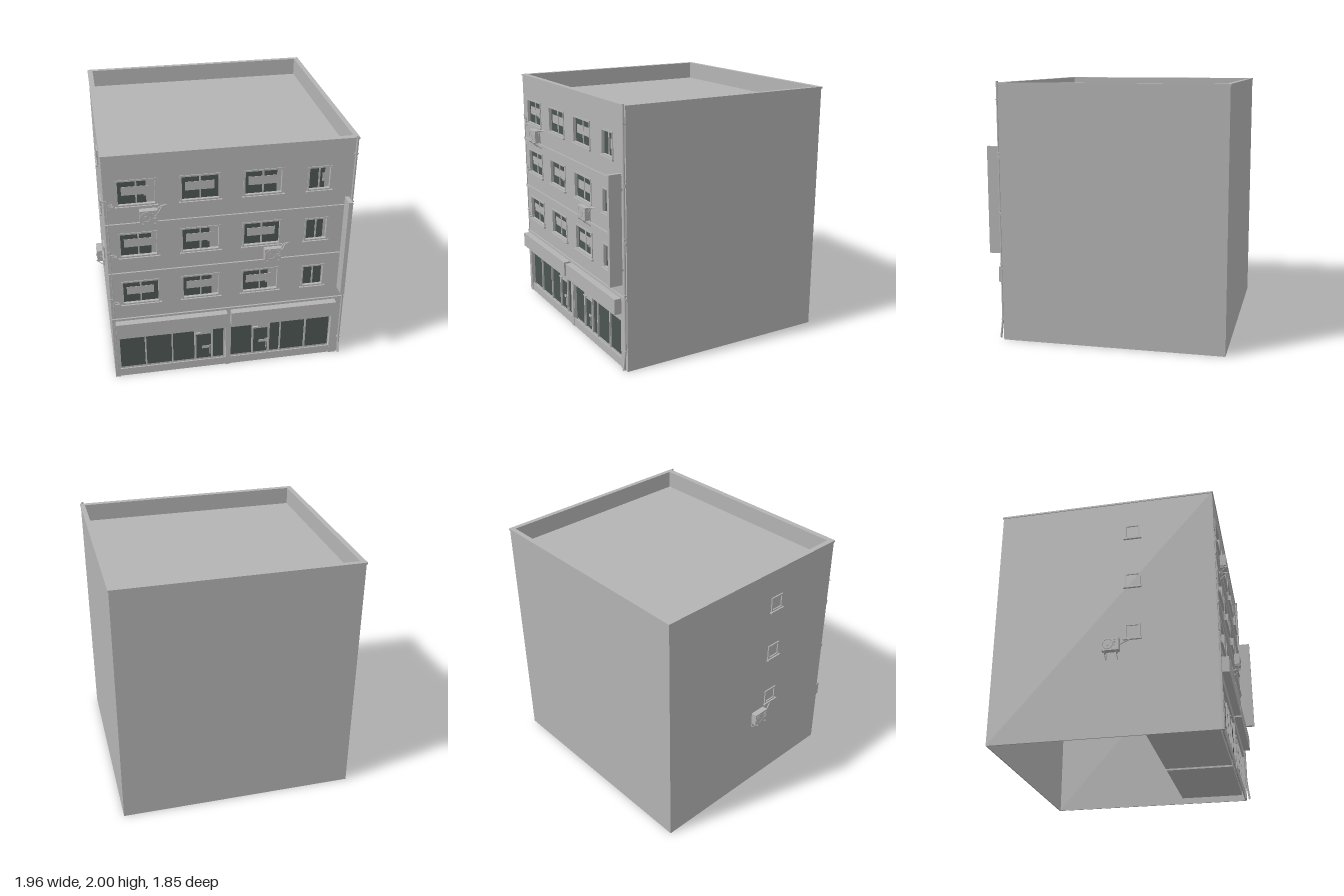
import * as THREE from 'three';

const mat = (name, color, side = THREE.FrontSide) => {
  const m = new THREE.MeshStandardMaterial({ color, side });
  m.name = name;
  return m;
};

export function createModel() {
  const model = new THREE.Group();
  const plaster = mat('plaster grey', 0xb4b4b4, THREE.DoubleSide);
  const glassMat = mat('dark glass', 0x4b5551);
  const L = -0.905, R = 0.975, B = -0.92, F = 0.81, TOP = 1.98;

  const add = (parent, name, geo, m = plaster) => {
    const mesh = new THREE.Mesh(geo, m);
    mesh.name = name;
    parent.add(mesh);
    return mesh;
  };
  // Box given by its two extremes on each axis
  const box = (parent, name, x0, x1, y0, y1, z0, z1, m) =>
    add(parent, name, new THREE.BoxGeometry(x1 - x0, y1 - y0, z1 - z0)
      .translate((x0 + x1) / 2, (y0 + y1) / 2, (z0 + z1) / 2), m);
  const tube = (parent, name, pts, r, sides = 8) =>
    add(parent, name, new THREE.TubeGeometry(
      new THREE.CatmullRomCurve3(pts.map(p => new THREE.Vector3(...p)), false, 'catmullrom', 0.1), 12, r, sides));
  const group = (name, parent = model) => {
    const g = new THREE.Group();
    g.name = name;
    parent.add(g);
    return g;
  };
  const rect = (P, x0, x1, y0, y1) => {
    const p = new P();
    p.moveTo(x0, y0).lineTo(x1, y0).lineTo(x1, y1).lineTo(x0, y1).closePath();
    return p;
  };

  // Window layout: wide columns (x0, x1), narrow column, and the three storeys
  const wide = [[-0.815, -0.52], [-0.35, -0.05], [0.12, 0.42]];
  const narrow = [0.605, 0.79];
  const storeys = [0.71, 1.14, 1.58];
  // Share of the opening left bright on the right, and whether the panel is stepped
  const blinds = [
    [[0, 0], [0.17, 0], [0.24, 1], [0.04, 0]],
    [[0.13, 0], [0.22, 1], [0, 0], [0.12, 0]],
    [[0.21, 1], [0, 0], [0.11, 0], [0.2, 1]],
  ];
  const windows = [];
  storeys.forEach((y, s) => [...wide, narrow].forEach(([x0, x1], c) =>
    windows.push({ x0, x1, y0: y, y1: y + (c < 3 ? 0.215 : 0.2), blind: blinds[s][c], notice: c < 3 })));

  // Outer walls, hollow and open below
  const shell = group('walls');
  const front = rect(THREE.Shape, L, R, 0, TOP);
  windows.forEach(w => front.holes.push(rect(THREE.Path, w.x0, w.x1, w.y0, w.y1)));
  const shops = [[-0.865, 0.0], [0.045, 0.885]];
  shops.forEach(([a, b]) => front.holes.push(rect(THREE.Path, a, b, 0.07, 0.38)));
  add(shell, 'frontWall', new THREE.ExtrudeGeometry(front, { depth: 0.01, bevelEnabled: false }).translate(0, 0, F - 0.01));
  box(shell, 'backWall', L, R, 0, TOP, B, B + 0.01);
  box(shell, 'rightWall', L, L + 0.01, 0, TOP, B, F - 0.01);
  box(shell, 'leftWall', R - 0.01, R, 0, TOP, B, F - 0.01);

  // Roof sunk behind a parapet with a slim coping
  box(shell, 'roof', L + 0.01, R - 0.01, 1.84, 1.85, B + 0.01, F - 0.01);
  const ring = (name, o, y0, y1) => {
    const s = rect(THREE.Shape, L - o, R + o, -F - o, -B + o);
    s.holes.push(rect(THREE.Path, -0.868, 0.942, -0.77, 0.888));
    add(shell, name, new THREE.ExtrudeGeometry(s, { depth: y1 - y0, bevelEnabled: false })
      .rotateX(-Math.PI / 2).translate(0, y0, 0));
  };
  ring('parapet', -0.003, 1.85, 1.98);
  ring('coping', 0.006, 1.978, 1.992);

  // Storey bands
  for (const y of [0.557, 0.985, 1.415]) {
    box(model, 'storeyBand', L, R, y, y + 0.025, F, F + 0.008);
    box(model, 'storeyBandLip', L, R, y + 0.017, y + 0.025, F, F + 0.013);
  }

  // One window facing +z, with its front wall surface at z
  const buildWindow = (parent, { x0, x1, y0, y1, blind, notice }, z, depth = 0.12) => {
    const g = group('window', parent), t = 0.013, w = x1 - x0;
    box(g, 'recess', x0, x1, y0, y1, z - depth, z - 0.022);
    for (const x of [x0, x1 - t]) box(g, 'frameSide', x, x + t, y0, y1, z - 0.025, z + 0.006);
    for (const y of [y0, y1 - t]) box(g, 'frameRail', x0 + t, x1 - t, y, y + t, z - 0.025, z + 0.006);
    box(g, 'sill', x0 - 0.01, x1 + 0.01, y0 - 0.012, y0 + 0.002, z, z + 0.018);
    const edge = x1 - t - blind[0] * w, mid = (x0 + x1) / 2, h = y1 - y0;
    box(g, 'glass', x0 + t, edge, y0 + t, y1 - t, z - 0.022, z - 0.018, glassMat);
    box(g, 'mullion', mid - 0.006, mid + 0.006, y0 + t, y1 - t, z - 0.022, z - 0.012);
    if (blind[1]) box(g, 'blindStep', edge - 0.018, edge + 0.002, y0 + h * 0.32, y0 + h * 0.68, z - 0.019, z - 0.014);
    if (notice) box(g, 'paleNotice', x0 + 0.04, x1 - 0.045, y0 + h * 0.38, y0 + h * 0.7, z - 0.019, z - 0.015);
  };
  const facade = group('frontWindows');
  windows.forEach(w => buildWindow(facade, w, F));

  // Small windows on the right wall
  const sideWindows = group('sideWindows');
  for (const y of [0.76, 1.2, 1.64])
    buildWindow(sideWindows, { x0: -0.06, x1: 0.06, y0: y, y1: y + 0.12, blind: [0, 0], notice: false }, 0, 0.05);
  sideWindows.rotation.y = -Math.PI / 2;
  sideWindows.position.set(L - 0.026 + 0.022, 0, 0.17);

  // Two shops: room, plinth, glazing, door and sign box
  const layouts = [
    { panes: [[-0.855, -0.657], [-0.645, -0.44], [-0.43, -0.255], [-0.103, -0.015]], door: [-0.24, -0.115] },
    { panes: [[0.05, 0.222], [0.373, 0.455], [0.465, 0.665], [0.678, 0.875]], door: [0.235, 0.357] },
  ];
  const signs = [[-0.88, 0.003], [0.035, 0.895]];
  layouts.forEach(({ panes, door }, i) => {
    const g = group('shop'), [a, b] = shops[i], [s0, s1] = signs[i];
    box(g, 'room', a, b, 0.03, 0.43, 0.25, F - 0.03);
    for (const [x0, x1] of panes) box(g, 'shopGlass', x0, x1, 0.075, 0.367, F - 0.03, F - 0.022, glassMat);
    const xs = panes.flat().sort((p, q) => p - q);
    for (let k = 1; k < 7; k += 2)
      if (xs[k + 1] - xs[k] < 0.03) box(g, 'mullion', xs[k], xs[k + 1], 0.07, 0.38, F - 0.03, F - 0.008);
    const [d0, d1] = door;
    for (const x of [d0 - 0.014, d1]) box(g, 'doorPost', x, x + 0.014, 0.07, 0.38, F - 0.03, F - 0.008);
    box(g, 'doorHead', d0, d1, 0.325, 0.38, F - 0.03, F - 0.012);
    box(g, 'doorGlass', d0, d1, 0.075, 0.325, F - 0.03, F - 0.022, glassMat);
    box(g, 'doorNotice', d0 + 0.05, d0 + 0.105, 0.175, 0.198, F - 0.022, F - 0.017);
    box(g, 'doorHandle', d1 - 0.014, d1 - 0.008, 0.12, 0.21, F - 0.022, F - 0.002);
    box(g, 'doorCloser', d0 - 0.01, d0 + 0.035, 0.342, 0.35, F - 0.012, F + 0.002);
    box(g, 'signBox', s0, s1, 0.44, 0.56, F, 0.872);
    box(g, 'shutterCase', s0, s1, 0.38, 0.44, F, F + 0.006);
  });
  for (const [x0, x1] of [[L, -0.865], [0.003, 0.04], [0.885, 0.945]])
    box(model, 'pillar', x0, x1, 0, 0.557, F, F + 0.007);

  // Vertical projecting sign
  box(model, 'projectingSign', 0.902, 0.934, 0.68, 1.51, F + 0.015, 0.925);
  for (const y of [0.78, 1.38]) box(model, 'signBracket', 0.912, 0.924, y, y + 0.02, F, F + 0.016);

  // Drainpipe with kicked-out foot, and wall clips
  tube(model, 'drainpipe', [[0.96, 2.0, F + 0.01], [0.96, 1.0, F + 0.01], [0.96, 0.05, F + 0.01], [0.96, 0.012, F + 0.03]], 0.009);
  for (const y of [0.16, 0.6, 1.03, 1.46, 1.86]) box(model, 'pipeClip', 0.946, 0.974, y, y + 0.01, F, F + 0.02);

  // Service cable with a meter box on each storey
  tube(model, 'serviceCable', [[-0.885, 0.06, F + 0.005], [-0.885, 0.9, F + 0.005], [-0.885, 1.63, F + 0.005]], 0.004, 6);
  for (const y of [0.685, 1.12, 1.55]) {
    const g = group('meter');
    box(g, 'meterBox', -0.87, -0.835, y, y + 0.04, F, F + 0.012);
    box(g, 'meterArm', -0.885, -0.845, y + 0.05, y + 0.056, F, F + 0.01);
    box(g, 'meterStem', -0.862, -0.857, y + 0.04, y + 0.068, F, F + 0.01);
    box(g, 'wallHook', -0.915, -0.885, y + 0.08, y + 0.086, F, F + 0.006);
  }

  // Air conditioner centred on x, standing on brackets, wall at z = 0
  const aircon = (name, hose) => {
    const g = group(name);
    box(g, 'casing', -0.065, 0.065, 0, 0.1, 0.012, 0.058);
    add(g, 'fanRing', new THREE.TorusGeometry(0.038, 0.003, 6, 24).translate(-0.02, 0.05, 0.058));
    add(g, 'fanHub', new THREE.CylinderGeometry(0.012, 0.012, 0.004, 16).rotateX(Math.PI / 2).translate(-0.02, 0.05, 0.059));
    for (let k = 0; k < 5; k++) box(g, 'grilleSlat', 0.026, 0.058, 0.03 + k * 0.012, 0.034 + k * 0.012, 0.058, 0.061);
    for (const x of [-0.045, 0.045]) {
      box(g, 'bracketArm', x - 0.004, x + 0.004, -0.008, 0, 0, 0.068);
      box(g, 'bracketPost', x - 0.004, x + 0.004, -0.06, 0, 0, 0.006);
      tube(g, 'bracketBrace', [[x, -0.055, 0.004], [x, -0.004, 0.06]], 0.003, 6);
    }
    hose.forEach(p => tube(g, 'hose', p, 0.005, 6));
    return g;
  };
  const pipes = [[[0.06, 0.04, 0.03], [0.085, 0.08, 0.03], [0.1, 0.108, 0.02], [0.14, 0.11, 0.002]],
    [[0.06, 0.06, 0.03], [0.075, 0.1, 0.025], [0.1, 0.112, 0.012], [0.13, 0.112, 0.002]]];
  aircon('airConditionerUpper', pipes).position.set(-0.59, 1.458, F);
  aircon('airConditionerLower', pipes).position.set(0.352, 1.03, F);
  const side = aircon('airConditionerSide',
    [[[0.06, 0.05, 0.03], [0.1, 0.07, 0.028], [0.15, 0.1, 0.012], [0.22, 0.1, 0.004]]]);
  side.rotation.y = -Math.PI / 2;
  side.position.set(L - 0.006, 0.652, 0.015);

  return model;
}
